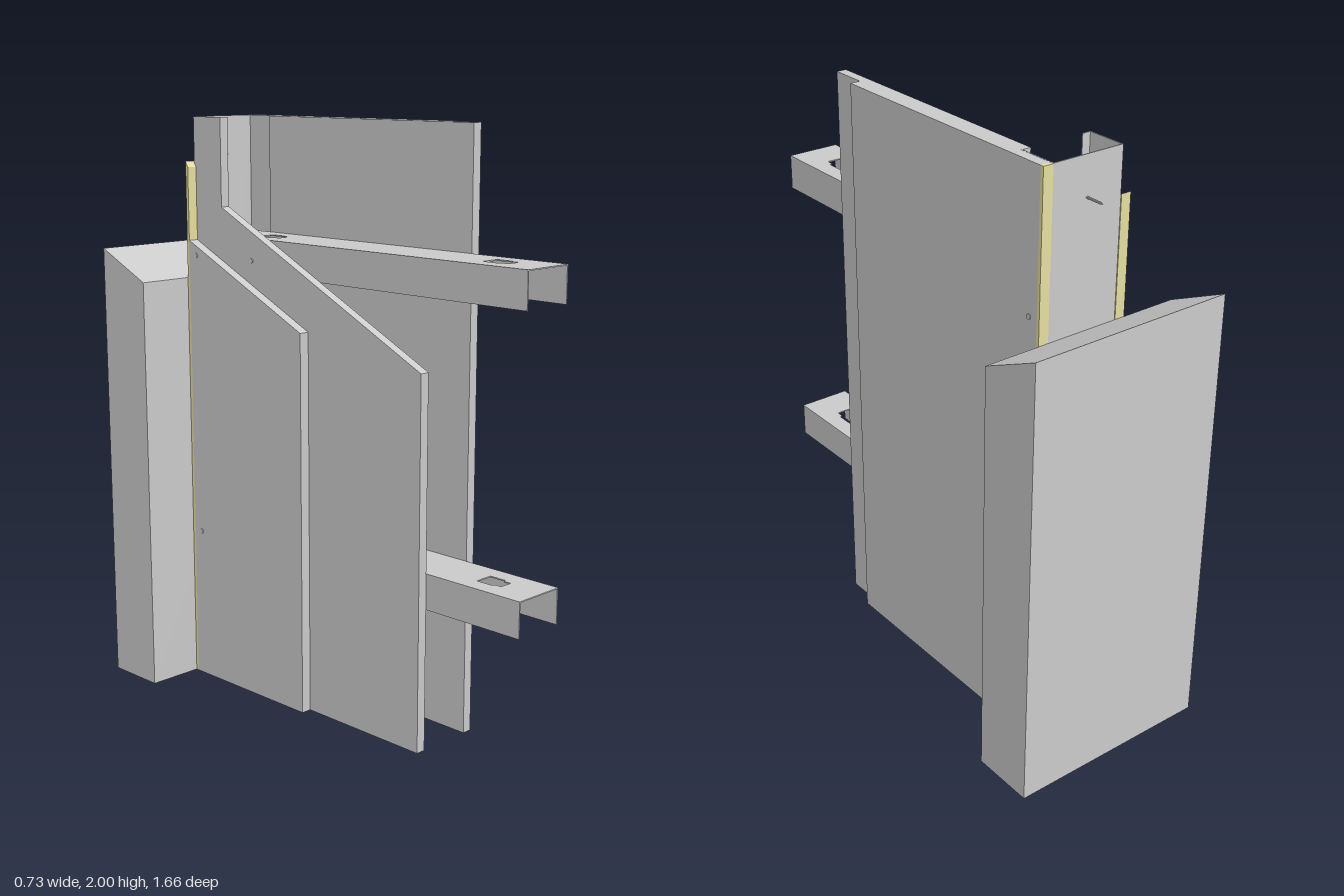
import * as THREE from 'three';

const grey = new THREE.MeshStandardMaterial({ color: 0xcccccc, flatShading: true });
const yellow = new THREE.MeshStandardMaterial({ color: 0xe6dfa0, flatShading: true });
const T = 0.004; // sheet metal thickness

function add(parent, name, geometry, material = grey) {
  const mesh = new THREE.Mesh(geometry, material);
  mesh.name = name;
  parent.add(mesh);
  return mesh;
}

// box given by its limits on each axis
function block(parent, name, x0, x1, y0, y1, z0, z1, material) {
  const g = new THREE.BoxGeometry(x1 - x0, y1 - y0, z1 - z0);
  g.translate((x0 + x1) / 2, (y0 + y1) / 2, (z0 + z1) / 2);
  return add(parent, name, g, material);
}

// upright slab from z0 to z1 with a sloping top edge
function slab(parent, name, x0, x1, z0, z1, top0, top1, material) {
  const shape = new THREE.Shape([[z0, 0], [z1, 0], [z1, top1], [z0, top0]].map(p => new THREE.Vector2(...p)));
  const g = new THREE.ExtrudeGeometry(shape, { depth: x1 - x0, bevelEnabled: false });
  g.rotateY(-Math.PI / 2).translate(x1, 0, 0);
  return add(parent, name, g, material);
}

// screw along +y with its head at the origin
function screw(parent, name, length) {
  const g = new THREE.LatheGeometry([[0, -0.003], [0.009, -0.003], [0.009, 0], [0.004, 0.007],
    [0.004, length - 0.012], [0, length]].map(p => new THREE.Vector2(...p)), 10);
  return add(parent, name, g);
}

// downward-open channel with a keyhole slot at each end
function runner(top) {
  const group = new THREE.Group();
  group.name = 'runner';
  const w = 0.094, z0 = -0.555, z1 = 0.83;
  const web = new THREE.Shape([[-w, z0], [w, z0], [w, z1], [-w, z1]].map(p => new THREE.Vector2(...p)));
  for (const z of [-0.39, 0.61]) {
    web.holes.push(new THREE.Path([[-0.033, z], [-0.033, z + 0.06], [-0.023, z + 0.065], [-0.023, z + 0.09],
      [0.023, z + 0.09], [0.023, z + 0.065], [0.033, z + 0.06], [0.033, z]].map(p => new THREE.Vector2(...p))));
  }
  const g = new THREE.ExtrudeGeometry(web, { depth: T, bevelEnabled: false });
  g.rotateX(Math.PI / 2).translate(0, top, 0);
  add(group, 'runnerWeb', g);
  block(group, 'runnerFlange', -w, -w + T, top - 0.12, top, z0, z1);
  block(group, 'runnerFlange', w - T, w, top - 0.12, top, z0, z1);
  return group;
}

export function createModel() {
  const model = new THREE.Group();

  // wall block behind, with a sloping top
  slab(model, 'wallBlock', -0.363, 0.363, -0.83, -0.612, 1.55, 1.45);

  // lipped vertical stud
  const stud = new THREE.Group();
  stud.name = 'stud';
  model.add(stud);
  block(stud, 'studWeb', -0.13, 0.13, 0, 2, -0.61, -0.61 + T);
  for (const s of [-1, 1]) {
    const a = s * 0.13, b = s * (0.13 - T), c = s * 0.097;
    block(stud, 'studFlange', Math.min(a, b), Math.max(a, b), 0, 2, -0.61, -0.47);
    block(stud, 'studLip', Math.min(a, c), Math.max(a, c), 0, 2, -0.47 - T, -0.47);
  }

  // horizontal runners
  for (const top of [0.6, 1.6]) model.add(runner(top));

  // boards on the left, full height
  slab(model, 'leftInnerBoard', 0.097, 0.131, -0.47, 0.455, 2, 2);
  slab(model, 'leftOuterBoard', 0.131, 0.167, -0.6, 0.325, 2, 2);
  // boards on the right, cut away at a slope
  slab(model, 'rightInnerBoard', -0.131, -0.097, -0.47, 0.455, 1.7, 1.25);
  slab(model, 'rightOuterBoard', -0.167, -0.131, -0.6, -0.045, 1.58, 1.32);

  // sealing strips between the outer boards and the wall
  slab(model, 'leftSealStrip', 0.131, 0.167, -0.612, -0.6, 2, 2, yellow);
  slab(model, 'rightSealStrip', -0.167, -0.131, -0.612, -0.6, 1.85, 1.83, yellow);

  // board screws on both sides
  for (const y of [0.54, 1.53]) {
    for (const s of [-1, 1]) {
      for (const [x, z, length] of [[0.167, -0.565, 0.06], [0.131, -0.32, 0.055]]) {
        const m = screw(model, 'boardScrew', length);
        m.rotation.z = s * Math.PI / 2;
        m.position.set(s * x, y, z);
      }
    }
  }

  // wall anchors through the stud
  for (const y of [0.87, 1.87]) {
    const m = screw(model, 'wallAnchor', 0.085);
    m.rotation.x = -Math.PI / 2;
    m.position.set(0, y, -0.594);
    const washer = add(model, 'anchorWasher', new THREE.CylinderGeometry(0.016, 0.016, 0.006, 12));
    washer.rotation.x = Math.PI / 2;
    washer.position.set(0, y, -0.603);
  }
  return model;
}
